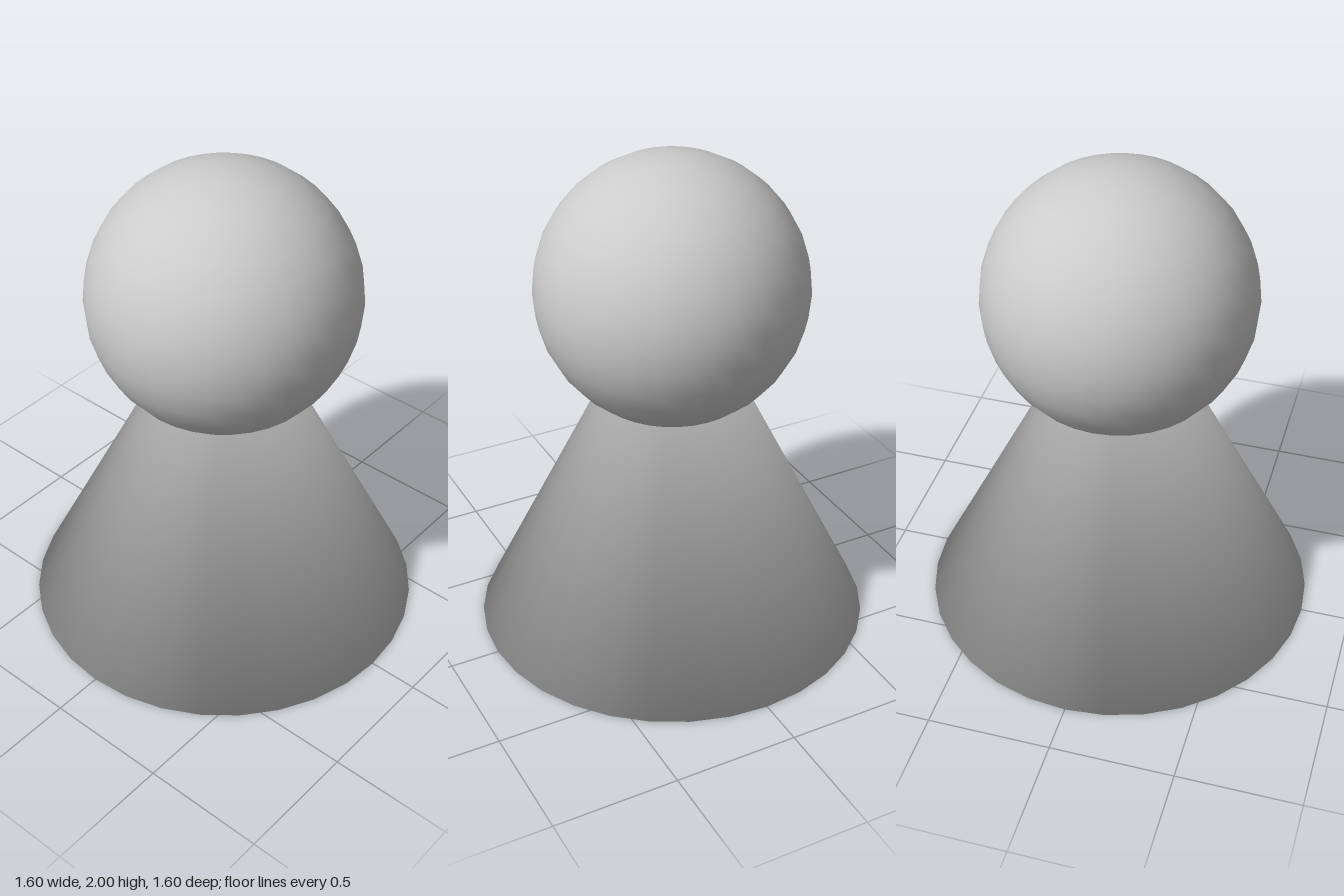
import * as THREE from 'three';

const SIDES = 32;

// Closed cone with one smooth normal per corner, so shading runs over the rim into the base
function coneGeometry(radius, height) {
  const pos = [], nor = [], index = [];
  const rim = new THREE.Vector3();
  for (let i = 0; i < SIDES; i++) {
    const a = (i / SIDES) * Math.PI * 2;
    pos.push(radius * Math.sin(a), 0, radius * Math.cos(a));
    rim.set(Math.sin(a), -0.57, Math.cos(a)).normalize();
    nor.push(rim.x, rim.y, rim.z);
    index.push(i, (i + 1) % SIDES, SIDES); // side
    if (i > 0 && i < SIDES - 1) index.push(0, i + 1, i); // base
  }
  pos.push(0, height, 0); // tip
  nor.push(0, 1, 0);
  const geo = new THREE.BufferGeometry();
  geo.setAttribute('position', new THREE.Float32BufferAttribute(pos, 3));
  geo.setAttribute('normal', new THREE.Float32BufferAttribute(nor, 3));
  geo.setIndex(index);
  return geo;
}

export function createModel() {
  const group = new THREE.Group();
  const material = new THREE.MeshStandardMaterial({ color: 0xcccccc });

  // Conical body, its tip hidden inside the head
  const body = new THREE.Mesh(coneGeometry(0.8, 1.6), material);
  body.name = 'body';

  // Round head
  const head = new THREE.Mesh(new THREE.SphereGeometry(0.535, SIDES, SIDES / 2), material);
  head.name = 'head';
  head.position.y = 1.465;

  group.add(body, head);
  return group;
}
